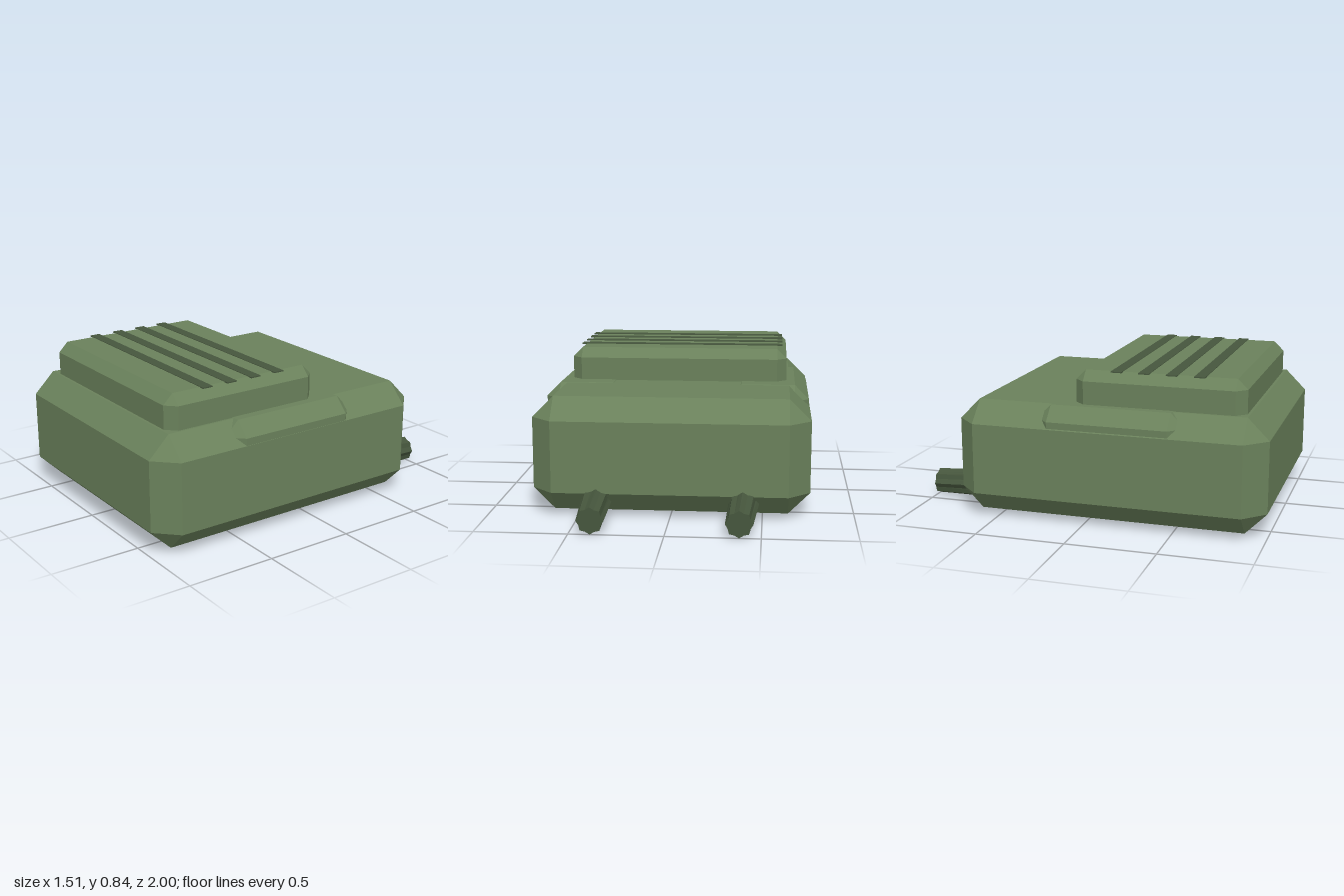
import * as THREE from 'three';
import { ConvexGeometry } from 'three/addons/geometries/ConvexGeometry.js';

const green = new THREE.MeshStandardMaterial({ color: 0x6a815b });
green.name = 'olive green';
const dark = new THREE.MeshStandardMaterial({ color: 0x46563d });
dark.name = 'dark green';

// Box with every edge cut at 45 degrees, from its min and max corners
function chamferBox(name, min, max, c) {
  const mid = min.map((v, i) => (v + max[i]) / 2);
  const half = min.map((v, i) => (max[i] - v) / 2);
  const points = [];
  for (const sx of [-1, 1]) for (const sy of [-1, 1]) for (const sz of [-1, 1]) {
    const s = [sx, sy, sz];
    for (let axis = 0; axis < 3; axis++) {
      points.push(new THREE.Vector3(...s.map((k, i) =>
        mid[i] + k * (half[i] - (i === axis ? 0 : c)))));
    }
  }
  const mesh = new THREE.Mesh(new ConvexGeometry(points), green);
  mesh.name = name;
  return mesh;
}

// Fluted, slightly twisted strap running backwards and down out of the body
function strap(side) {
  let geo = new THREE.CylinderGeometry(1, 1, 1, 16, 1);
  geo.rotateX(-Math.PI / 2);
  const p = geo.attributes.position;
  for (let i = 0; i < p.count; i++) {
    const t = p.getZ(i) + 0.5; // 0 at the rear tip, 1 inside the body
    const x = p.getX(i), y = p.getY(i);
    const step = Math.round(Math.atan2(y, x) / (Math.PI / 8));
    const flute = step % 2 === 0 ? 1 : 0.86;
    const r = (0.073 + 0.032 * t) * flute;
    const a = t * 0.12 * side;
    p.setXYZ(i,
      side * (0.386 + 0.045 * t) + r * (x * Math.cos(a) - y * Math.sin(a)),
      0.073 + 0.057 * t + r * (x * Math.sin(a) + y * Math.cos(a)),
      -1 + t);
  }
  geo = geo.toNonIndexed();
  geo.computeVertexNormals();
  const mesh = new THREE.Mesh(geo, dark);
  mesh.name = side > 0 ? 'leftStrap' : 'rightStrap';
  return mesh;
}

export function createModel() {
  const model = new THREE.Group();
  model.name = 'pack';

  // Main body and raised block on top
  model.add(chamferBox('body', [-0.757, 0.025, -0.73], [0.757, 0.655, 1], 0.118));
  model.add(chamferBox('raisedBlock', [-0.624, 0.5, -0.073], [0.627, 0.84, 0.868], 0.055));

  // Shoulder panels, standing just proud of the body's upper edges
  model.add(chamferBox('leftPanel', [0.29, 0.35, -0.264], [0.756, 0.658, 0.562], 0.08));
  model.add(chamferBox('rightPanel', [-0.752, 0.35, -0.264], [-0.286, 0.658, 0.562], 0.08));

  // Thin slats across the raised block
  const slats = new THREE.Group();
  slats.name = 'slats';
  for (let i = 0; i < 4; i++) {
    const slat = new THREE.Mesh(new THREE.BoxGeometry(1.2, 0.006, 0.06), dark);
    slat.name = 'slat';
    slat.position.set(0, 0.84, 0.16 + i * 0.152);
    slats.add(slat);
  }
  model.add(slats);

  // Straps at the lower rear
  for (const side of [-1, 1]) model.add(strap(side));

  return model;
}
